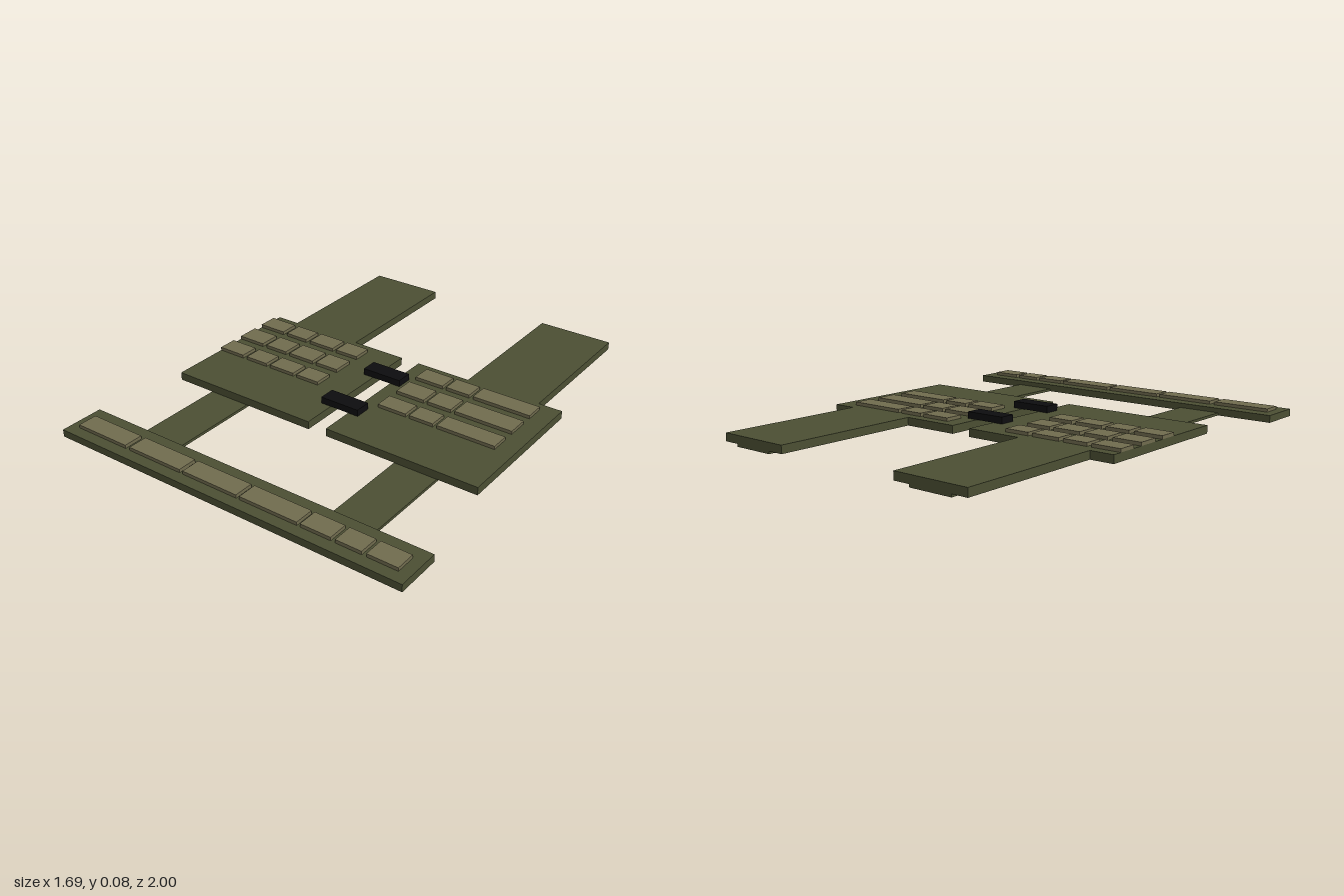
import * as THREE from 'three';

const material = (name, color) => {
  const m = new THREE.MeshStandardMaterial({ color });
  m.name = name;
  return m;
};

export function createModel() {
  const olive = material('olive fabric', 0x4b4f33);
  const tan = material('tan webbing', 0x706b4e);
  const black = material('black plastic', 0x0d0d0f);
  const model = new THREE.Group();
  model.name = 'loadVest';

  // box given by its limits on each axis
  const slab = (name, mat, [x0, x1], [y0, y1], [z0, z1]) => {
    const mesh = new THREE.Mesh(new THREE.BoxGeometry(x1 - x0, y1 - y0, z1 - z0), mat);
    mesh.position.set((x0 + x1) / 2, (y0 + y1) / 2, (z0 + z1) / 2);
    mesh.name = name;
    model.add(mesh);
  };

  // mirrored halves: panel, shoulder strap and the thin strap running beneath
  for (const s of [-1, 1]) {
    const span = (a, b) => (s > 0 ? [a, b] : [-b, -a]);
    const side = s > 0 ? 'left' : 'right';
    slab(side + 'Panel', olive, span(0.046, 0.77), [0.012, 0.048], [-0.307, 0.382]);
    slab(side + 'ShoulderStrap', olive, span(0.308, 0.66), [0.012, 0.048], [-1, -0.307]);
    slab(side + 'ThinStrap', olive, span(0.386, 0.586), [0, 0.012], [-1, 0.8]);
  }

  // webbing loops in three rows across both panels
  const columns = [
    [-0.77, -0.635], [-0.612, -0.497], [-0.475, -0.342], [-0.322, -0.205],
    [0.12, 0.26], [0.278, 0.395], [0.414, 0.688],
  ];
  const rows = [[-0.261, -0.172], [-0.121, -0.022], [0.03, 0.117]];
  for (const row of rows)
    for (const column of columns) slab('panelWebbing', tan, column, [0.048, 0.063], row);

  // waist belt and its webbing
  slab('waistBelt', olive, [-0.845, 0.845], [0, 0.033], [0.8, 1]);
  const beltLoops = [
    [-0.8, -0.53], [-0.506, -0.232], [-0.215, 0.059], [0.075, 0.35],
    [0.365, 0.504], [0.524, 0.64], [0.66, 0.795],
  ];
  for (const loop of beltLoops) slab('beltWebbing', tan, loop, [0.033, 0.048], [0.862, 0.95]);

  // buckles joining the panels
  for (const z of [[-0.155, -0.08], [0.154, 0.229]])
    slab('buckle', black, [-0.095, 0.095], [0.048, 0.078], z);

  return model;
}
